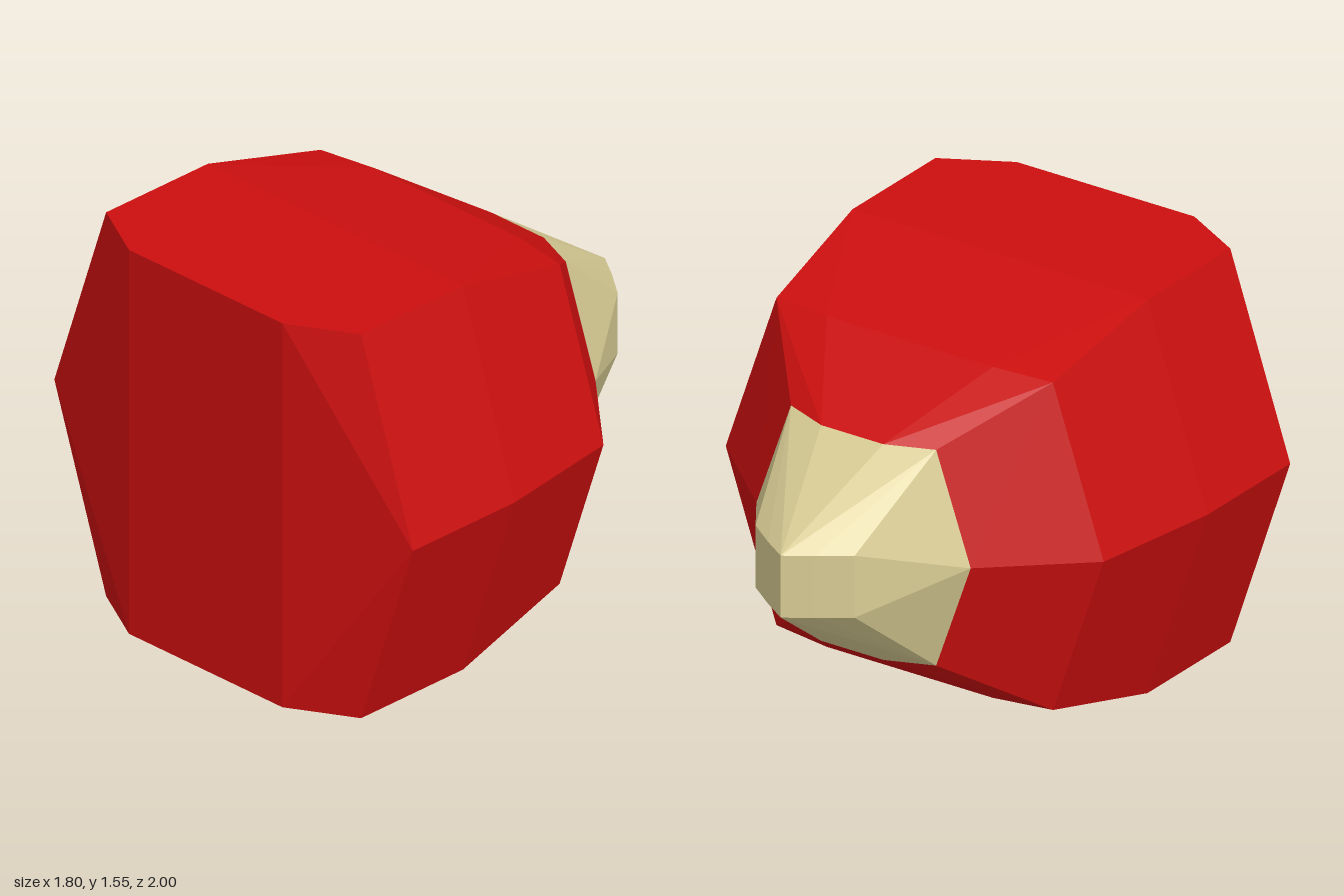
import * as THREE from 'three';
import { ConvexGeometry } from 'three/addons/geometries/ConvexGeometry.js';

const MID = 0.775; // height of the horizontal symmetry plane

const red = new THREE.MeshStandardMaterial({ color: 0xcc0f0f });
red.name = 'red';
const cream = new THREE.MeshStandardMaterial({ color: 0xd8cc94 });
cream.name = 'cream';

// Cross-sections from front to back, each given by one quarter: [x, height above MID, z]
const frontRing = [[0.9, 0, 0.86], [0.64, 0.775, 0.86], [0.385, 0.775, 1]];
const waistRing = [[0.9, 0, 0.35], [0.64, 0.775, 0.35], [0.385, 0.775, 0.39]];
const shoulderRing = [[0.82, 0, -0.175], [0.6, 0.645, -0.175], [0.36, 0.652, -0.205]];
const collarRing = [[0.465, 0, -0.49], [0.315, 0.425, -0.49], [0.135, 0.425, -0.56]];
const tipRing = [[0.215, 0, -0.85], [0.215, 0.122, -0.85], [0.1, 0.122, -0.935], [0, 0.122, -1]];

// Mirrors the quarter sections and wraps them in a faceted convex skin
function facetedPart(name, rings, material) {
  const points = [];
  for (const [x, h, z] of rings.flat()) {
    for (const sx of x > 0 ? [1, -1] : [1]) {
      for (const sy of h > 0 ? [1, -1] : [1]) {
        points.push(new THREE.Vector3(x * sx, MID + h * sy, z));
      }
    }
  }
  const mesh = new THREE.Mesh(new ConvexGeometry(points), material);
  mesh.name = name;
  return mesh;
}

export function createModel() {
  const group = new THREE.Group();
  group.name = 'facetedBulb';
  group.add(
    facetedPart('body', [frontRing, waistRing, shoulderRing, collarRing], red),
    facetedPart('tip', [collarRing, tipRing], cream),
  );
  return group;
}
